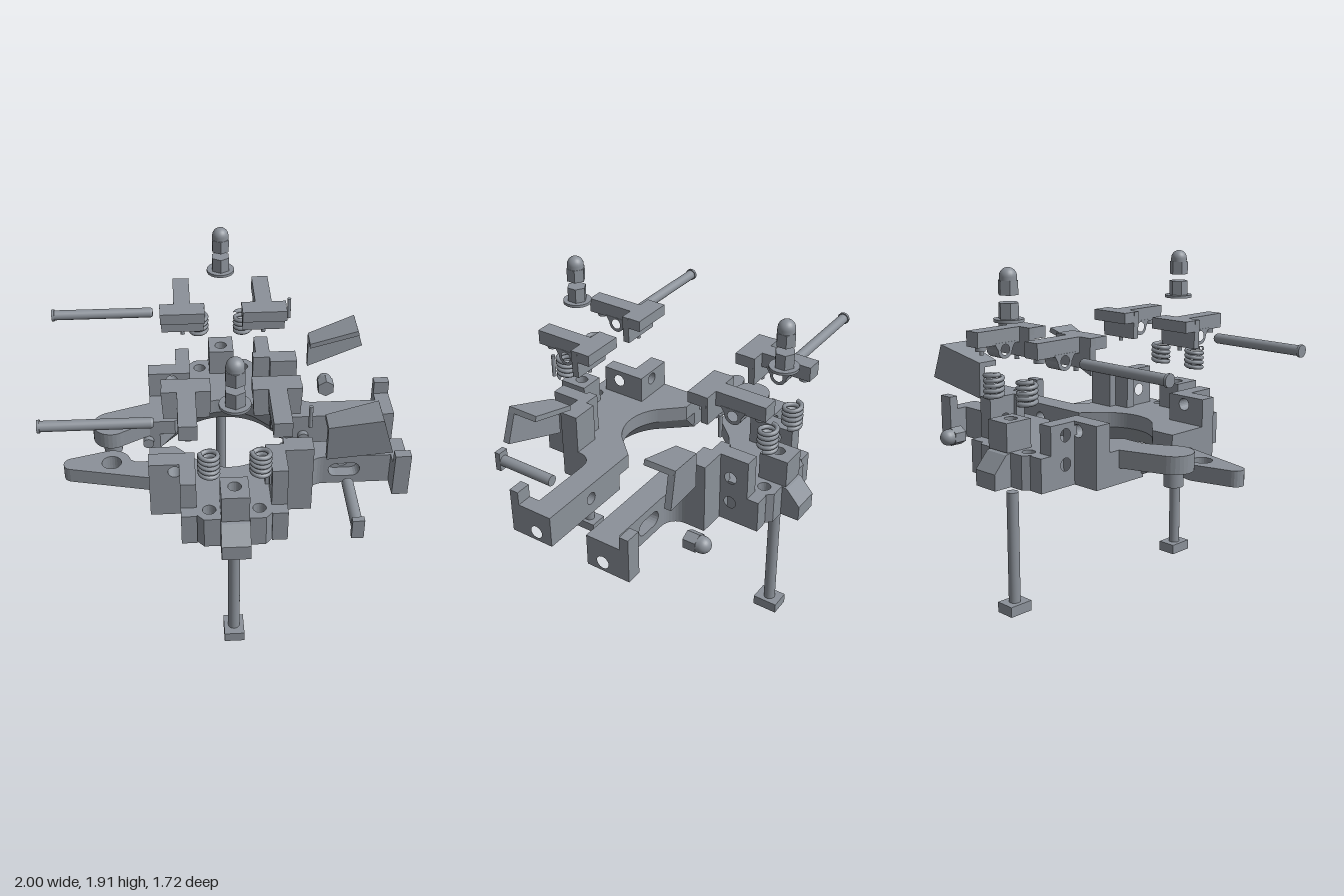
import * as THREE from 'three';

const material = new THREE.MeshStandardMaterial({ color: 0x8b9199 });

function add(group, name, geometry, x = 0, y = 0, z = 0) {
  const mesh = new THREE.Mesh(geometry, material);
  mesh.name = name;
  geometry.translate(x, y, z);
  group.add(mesh);
}

// box given by its limits
function box(group, name, x0, x1, y0, y1, z0, z1) {
  add(group, name, new THREE.BoxGeometry(x1 - x0, y1 - y0, z1 - z0), (x0 + x1) / 2, (y0 + y1) / 2, (z0 + z1) / 2);
}

// cylinder along a chosen axis, centred at a point; six sides stay faceted
function rod(group, name, axis, r, length, x, y, z, sides = 24, r2 = r) {
  let g = new THREE.CylinderGeometry(r2, r, length, sides);
  if (sides === 6) {
    g = g.toNonIndexed();
    g.computeVertexNormals();
  }
  if (axis === 'x') g.rotateZ(-Math.PI / 2);
  if (axis === 'z') g.rotateX(Math.PI / 2);
  add(group, name, g, x, y, z);
}

// closed outline with round holes [u, v, r]
function outline(points, holes = []) {
  const shape = new THREE.Shape(points.map(p => new THREE.Vector2(p[0], p[1])));
  for (const [u, v, r] of holes) shape.holes.push(new THREE.Path().absarc(u, v, r, 0, Math.PI * 2, true));
  return shape;
}
const extrude = (shape, depth) => new THREE.ExtrudeGeometry(shape, { depth, bevelEnabled: false, curveSegments: 12 });

// outlines in (x, z), (z, y) and (x, y)
const slabY = (pts, holes, y0, y1) => extrude(outline(pts, holes), y1 - y0).rotateX(Math.PI / 2).translate(0, y1, 0);
const slabX = (pts, holes, x0, x1) => extrude(
  outline(pts.map(p => [-p[0], p[1]]), holes.map(h => [-h[0], h[1], h[2]])), x1 - x0).rotateY(Math.PI / 2).translate(x0, 0, 0);
const slabZ = (shape, z0, z1) => extrude(shape, z1 - z0).translate(0, 0, z0);

const rect = (a0, a1, b0, b1) => [[a0, b0], [a1, b0], [a1, b1], [a0, b1]];
function arc(cx, cy, r, from, to, steps = 14) {
  return Array.from({ length: steps + 1 }, (_, i) => {
    const a = (from + (to - from) * i / steps) * Math.PI / 180;
    return [cx + r * Math.cos(a), cy + r * Math.sin(a)];
  });
}

// faceted strip joining an upper and a lower contour in (x, z)
function strip(upper, yUpper, lower, yLower) {
  const v = [];
  for (let i = 0; i + 1 < upper.length; i++) {
    const [a, b] = [upper[i], upper[i + 1]].map(p => [p[0], yUpper, p[1]]);
    const [c, d] = [lower[i], lower[i + 1]].map(p => [p[0], yLower, p[1]]);
    v.push(...a, ...b, ...c, ...b, ...d, ...c);
  }
  const g = new THREE.BufferGeometry();
  g.setAttribute('position', new THREE.Float32BufferAttribute(v, 3));
  g.computeVertexNormals();
  return g;
}

function jawBody(g, front) {
  const bolt = [0, 0.675, 0.036];
  const holes = [[-0.134, 0.67, 0.036], [0.134, 0.67, 0.036], bolt];
  // base plate: gripping recess, straight above and flared below
  const grip = [[-0.3, 0.12], ...arc(0, 0.054, 0.266, 132.6, 47.4, 20), [0.3, 0.12]];
  const flare = grip.map(([x, z]) => [x * 1.3, 0.12 + (z - 0.12) * 1.4]);
  const plate = inner => [
    [-0.45, 0.12], ...inner, [0.53, 0.12], ...arc(0.53, 0.355, 0.09, 270, 180, 8), [0.44, 0.48], [0.2, 0.48],
    [0.2, 0.71], [0.165, 0.75], [-0.165, 0.75], [-0.2, 0.71], [-0.2, 0.48], [-0.45, 0.48],
  ];
  add(g, 'jawBaseTop', slabY(plate(grip), holes, 0.86, 0.95));
  add(g, 'jawBaseBottom', slabY(plate(flare), holes, 0.76, 0.86));
  add(g, 'jawFlare', strip(grip, 0.86, flare, 0.76));
  // bolt post and sloping foot
  add(g, 'boltPost', slabY(rect(-0.075, 0.075, 0.6, 0.77), [bolt], 0.95, 1.11));
  add(g, 'foot', slabX([[0.74, 0.76], [0.86, 0.76], [0.86, 0.85], [0.78, 0.94], [0.74, 0.95]], [], -0.078, 0.078));
  // hinge ears with pin holes
  for (const [x0, x1, top] of [[0.2, 0.285, 1.18], [-0.285, -0.2, 1.11]])
    add(g, 'hingeEar', slabX([[0.46, 0.76], [0.72, 0.76], [0.72, 0.95], [0.65, 0.95], [0.65, top], [0.46, top]],
      [[0.545, 1.045, 0.036], [0.545, 0.885, 0.036]], x0, x1));
  // shoulder blocks
  add(g, 'leftShoulder', slabY([[0.18, 0.42], [0.28, 0.42], [0.28, 0.37], [0.44, 0.37], [0.44, 0.48], [0.18, 0.48]], [], 0.95, 1.18));
  add(g, 'rightShoulder', slabZ(outline(rect(-0.45, -0.2, 0.95, 1.11), [[-0.31, 1.06, 0.036]]), 0.38, 0.48));
  // long arm: slot on the outside, round hole on the inside
  const slotted = outline(rect(0.53, 0.91, 0.76, 0.95));
  slotted.holes.push(new THREE.Path([...arc(0.695, 0.855, 0.045, -90, 90, 10), ...arc(0.605, 0.855, 0.045, 90, 270, 10)]
    .map(p => new THREE.Vector2(...p))));
  add(g, 'armOuter', slabZ(slotted, 0.19, 0.265));
  add(g, 'armInner', slabZ(outline(rect(0.53, 0.91, 0.76, 0.95), [[0.65, 0.86, 0.036]]), 0.12, 0.19));
  // hooked arm end
  add(g, 'armHook', slabX([[0.12, 0.76], [0.385, 0.76], [0.385, 1.03], [0.33, 1.03], [0.33, 0.95], [0.12, 0.95]],
    [[0.22, 0.815, 0.037]], 0.91, 1));
  // pivot lever
  if (front) {
    add(g, 'pivotLever', slabY([[-0.45, 0.27], ...arc(-0.895, 0.12, 0.05, 105, 255, 8),
      ...arc(-0.67, 0.12, 0.11, 255, 350, 10), [-0.53, 0.12], [-0.45, 0.12]],
      [[-0.67, 0.12, 0.056]], 0.76, 0.85));
  } else {
    add(g, 'pivotLever', slabY([[-0.45, 0.31], ...arc(-0.67, 0.12, 0.11, 110, 310, 16), [-0.45, 0.12]], [], 0.85, 0.95));
    rod(g, 'pivotStud', 'y', 0.054, 0.09, -0.67, 0.805, 0.12);
    for (const x of [-0.46, 0.46]) rod(g, 'dowel', 'z', 0.032, 0.05, x, 0.815, 0.11);
  }
}

// pivoting pad with a lever reaching over the ear
function pad(g, s) {
  const c = s * 0.237;
  box(g, 'padBar', c - 0.128, c + 0.128, 1.49, 1.555, 0.32, 0.43);
  add(g, 'padFace', slabZ(outline([[c - 0.122, 1.39], [c + 0.122, 1.39], [c + 0.13, 1.555], [c - 0.13, 1.555]]), 0.4, 0.44));
  box(g, 'padLever', c - 0.048, c + 0.048, 1.47, 1.555, 0.43, 0.735);
  add(g, 'padKnuckle', slabX([...arc(0.545, 1.44, 0.05, 180, 360, 14), [0.62, 1.48], [0.47, 1.48]],
    [[0.545, 1.44, 0.03]], c - 0.05, c + 0.05));
  rod(g, 'springPeg', 'y', 0.028, 0.03, c, 1.457, 0.68);
  rod(g, 'padPeg', 'y', 0.013, 0.04, c, 1.385, 0.42, 12);
}

function spring(g, x) {
  const turns = 4.5, pts = [];
  for (let i = 0; i <= 90; i++) {
    const a = i / 90 * turns * Math.PI * 2;
    pts.push(new THREE.Vector3(x + 0.047 * Math.cos(a), 1.205 + 0.13 * i / 90, 0.675 + 0.047 * Math.sin(a)));
  }
  add(g, 'spring', new THREE.TubeGeometry(new THREE.CatmullRomCurve3(pts), 140, 0.013, 8));
}

// domed nut pointing up, base at y = 0
function domedNut() {
  const g = new THREE.Group();
  rod(g, 'nutHex', 'y', 0.055, 0.075, 0, 0.0375, 0, 6);
  const dome = [[0.047, 0.07], [0.047, 0.095]];
  for (let i = 1; i <= 8; i++) dome.push([0.047 * Math.cos(i * Math.PI / 16), 0.095 + 0.047 * Math.sin(i * Math.PI / 16)]);
  add(g, 'nutDome', new THREE.LatheGeometry(dome.map(p => new THREE.Vector2(Math.max(p[0], 0), p[1])), 24));
  return [...g.children];
}

// angled grip: leaning plate with a flange on top
function grip(g) {
  const lean = (geometry) => {
    const p = geometry.attributes.position;
    for (let i = 0; i < p.count; i++)
      if (p.getZ(i) > 0.4) p.setZ(i, p.getZ(i) + 0.21 * (p.getX(i) - 0.51));
    geometry.computeVertexNormals();
    return geometry;
  };
  add(g, 'gripPlate', lean(slabZ(outline([[0.51, 1.1], [0.85, 1.19], [0.79, 1.39], [0.51, 1.31]]), 0.43, 0.47)));
  add(g, 'gripFlange', lean(slabZ(outline([[0.51, 1.28], [0.8, 1.36], [0.79, 1.39], [0.51, 1.31]]), 0.345, 0.46)));
}

function buildSide(front) {
  const g = new THREE.Group();
  g.name = front ? 'frontClampHalf' : 'backClampHalf';
  jawBody(g, front);
  for (const s of [-1, 1]) { pad(g, s); spring(g, s * 0.134); }
  grip(g);
  // hinge pin and small locking pin
  rod(g, 'hingePin', 'x', 0.029, 0.57, -0.705, 1.443, 0.54);
  rod(g, 'hingePinHead', 'x', 0.035, 0.015, -0.9925, 1.443, 0.54);
  rod(g, 'hingePinTip', 'x', 0.029, 0.012, -0.414, 1.443, 0.54, 24, 0.022);
  rod(g, 'lockingPin', 'y', 0.011, 0.13, 0.4, 1.445, 0.54, 12);
  // vertical bolt, flanged nut and domed nut
  box(g, 'boltHead', -0.057, 0.057, 0, 0.06, 0.602, 0.748);
  rod(g, 'boltShaft', 'y', 0.033, 0.64, 0, 0.38, 0.675);
  rod(g, 'nutFlange', 'y', 0.081, 0.016, 0, 1.638, 0.675);
  rod(g, 'flangedNut', 'y', 0.056, 0.09, 0, 1.685, 0.675, 6);
  for (const m of domedNut()) { m.geometry.translate(0, 1.77, 0.675); g.add(m); }
  // cross bolt on one side, its nut on the other
  if (front) {
    rod(g, 'crossBoltShaft', 'z', 0.033, 0.36, 0.65, 0.867, 0.575);
    box(g, 'crossBoltHead', 0.617, 0.683, 0.81, 0.93, 0.75, 0.785);
  } else {
    for (const m of domedNut()) { m.geometry.rotateX(Math.PI / 2).translate(0.65, 0.867, 0.51); g.add(m); }
    g.traverse(mirrorZ);
  }
  return g;
}

// mirror a mesh through z = 0 and turn its faces back outward
function mirrorZ(mesh) {
  if (!mesh.isMesh) return;
  const g = mesh.geometry.index ? mesh.geometry.toNonIndexed() : mesh.geometry;
  g.applyMatrix4(new THREE.Matrix4().makeScale(1, 1, -1));
  for (const { array, itemSize: n } of Object.values(g.attributes))
    for (let i = 0; i < array.length; i += 3 * n)
      for (let k = 0; k < n; k++)
        [array[i + k], array[i + 2 * n + k]] = [array[i + 2 * n + k], array[i + k]];
  mesh.geometry = g;
}

export function createModel() {
  const model = new THREE.Group();
  model.name = 'explodedClamp';
  model.add(buildSide(true), buildSide(false));
  return model;
}
